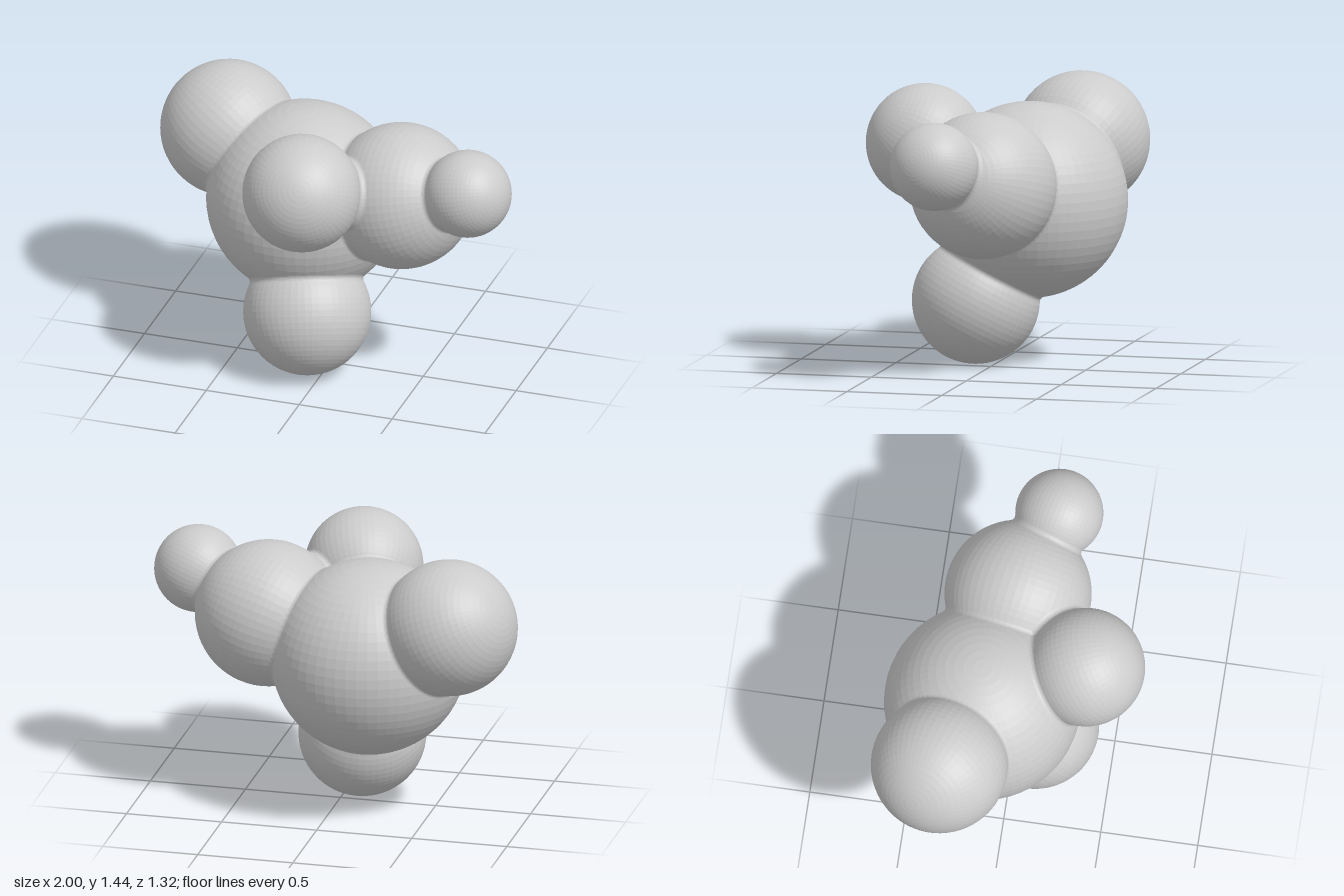
import * as THREE from 'three';

const material = new THREE.MeshStandardMaterial({ color: 0xcccccc, flatShading: true });
const seamMaterial = new THREE.MeshStandardMaterial({ color: 0xcccccc, flatShading: true, side: THREE.DoubleSide });
const UP = new THREE.Vector3(0, 1, 0);

// name: centre, radius
const BALLS = {
  core: { at: new THREE.Vector3(-0.19, 0.84, -0.155), r: 0.503 },
  rightBall: { at: new THREE.Vector3(-0.65, 1.09, -0.31), r: 0.35 },
  frontBall: { at: new THREE.Vector3(-0.035, 1.138, 0.355), r: 0.303 },
  leftBall: { at: new THREE.Vector3(0.365, 0.99, -0.053), r: 0.376 },
  leftTipBall: { at: new THREE.Vector3(0.773, 1.142, 0.1), r: 0.225 },
  bottomBall: { at: new THREE.Vector3(-0.09, 0.327, 0.102), r: 0.327 },
};

// Pairs of balls that touch, each blended by a small fillet
const JOINS = [
  ['core', 'rightBall'],
  ['core', 'frontBall'],
  ['core', 'leftBall'],
  ['core', 'bottomBall'],
  ['leftBall', 'leftTipBall'],
  ['leftBall', 'frontBall'],
];

function turnTo(mesh, direction) {
  mesh.quaternion.setFromUnitVectors(UP, direction.clone().normalize());
}

// Concave ring tangent to both balls, turned about the line between centres
function makeFillet(a, b, rho = 0.025, steps = 5) {
  const axis = b.at.clone().sub(a.at);
  const d = axis.length();
  const ra = a.r + rho;
  const rb = b.r + rho;
  const c = (d * d + ra * ra - rb * rb) / (2 * d);
  const h = Math.sqrt(ra * ra - c * c);
  const start = Math.atan2(-h, -c);
  const end = Math.atan2(-h, d - c);
  const profile = [];
  for (let i = 0; i <= steps; i++) {
    const t = start + ((end - start) * i) / steps;
    profile.push(new THREE.Vector2(h + rho * Math.sin(t), c + rho * Math.cos(t)));
  }
  const mesh = new THREE.Mesh(new THREE.LatheGeometry(profile, 64), seamMaterial);
  mesh.position.copy(a.at);
  turnTo(mesh, axis);
  return mesh;
}

export function createModel() {
  const group = new THREE.Group();
  group.name = 'ballCluster';

  // Balls, with their poles pointing away from the core
  for (const [name, { at, r }] of Object.entries(BALLS)) {
    const mesh = new THREE.Mesh(new THREE.SphereGeometry(r, 56, 32), material);
    mesh.name = name;
    mesh.position.copy(at);
    if (name !== 'core') turnTo(mesh, at.clone().sub(BALLS.core.at));
    group.add(mesh);
  }

  // Fillets along the seams
  for (const [a, b] of JOINS) {
    const fillet = makeFillet(BALLS[a], BALLS[b]);
    fillet.name = `${a} to ${b} fillet`;
    group.add(fillet);
  }
  return group;
}
